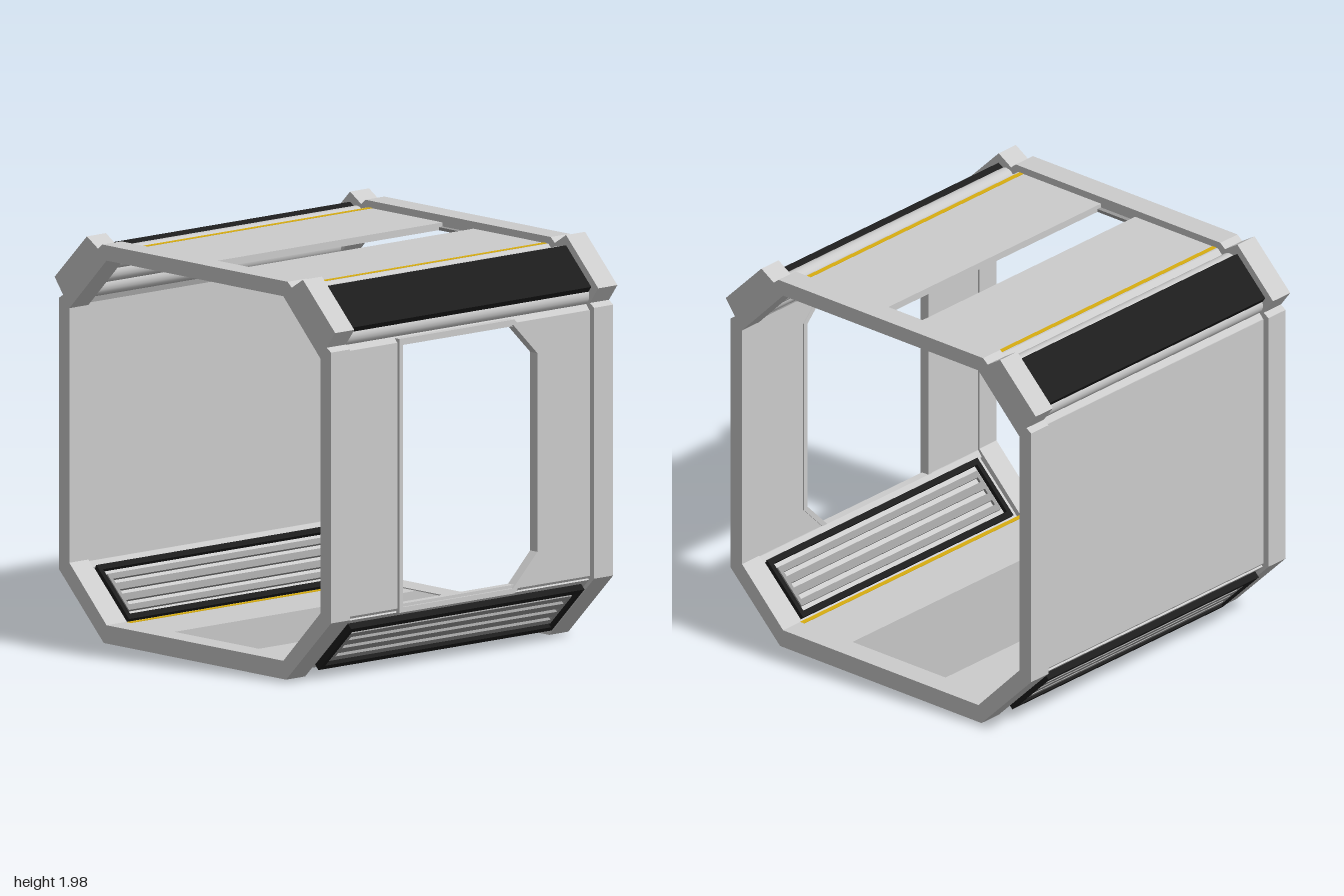
import * as THREE from 'three';

const material = (color) => new THREE.MeshStandardMaterial({ color, side: THREE.DoubleSide });
const grey = material(0xcccccc);
const floorGrey = material(0xb4b4b4);
const ventGrey = material(0x999999);
const black = material(0x1c1c1c);
const yellow = material(0xd9ae10);

const HALF = 0.8; // half length between the end frames

function add(parent, name, geometry, mat = grey) {
  const mesh = new THREE.Mesh(geometry, mat);
  mesh.name = name;
  parent.add(mesh);
  return mesh;
}

// Box given by its limits
function block(parent, name, [x0, x1], [y0, y1], [z0, z1], mat) {
  const geometry = new THREE.BoxGeometry(x1 - x0, y1 - y0, z1 - z0);
  geometry.translate((x0 + x1) / 2, (y0 + y1) / 2, (z0 + z1) / 2);
  return add(parent, name, geometry, mat);
}

const shapeOf = (points) => new THREE.Shape(points.map(([a, b]) => new THREE.Vector2(a, b)));
const holeOf = (points) => new THREE.Path(points.map(([a, b]) => new THREE.Vector2(a, b)));
const rect = (x0, x1, y0, y1) => [[x0, y0], [x1, y0], [x1, y1], [x0, y1]];

// Flat plate with holes, from z0 to z1
function plate(points, holes, z0, z1) {
  const shape = shapeOf(points);
  shape.holes = holes.map(holeOf);
  return new THREE.ExtrudeGeometry(shape, { depth: z1 - z0, bevelEnabled: false }).translate(0, 0, z0);
}

// Cross-section of [z, y] points swept along x
function prism(points, x0, x1, holes = []) {
  const flip = (list) => list.map(([z, y]) => [-z, y]);
  return plate(flip(points), holes.map(flip), x0, x1).rotateY(Math.PI / 2);
}

const mirrored = (half) => [...half, ...half.map(([z, y]) => [-z, y]).reverse()];

// Doorway with two cut corners on one side
const doorway = (x0, x1, y0, y1, cut) => [
  [x0, y0], [x1 - cut, y0], [x1, y0 + cut], [x1, y1 - cut], [x1 - cut, y1], [x0, y1],
];

// Louvred vent face, built facing +z
function ventFace(name) {
  const face = new THREE.Group();
  face.name = name;
  add(face, 'ventFrame', plate(rect(-0.765, 0.765, -0.165, 0.165), [rect(-0.74, 0.74, -0.135, 0.135)], 0, 0.036), black);
  add(face, 'ventBacking', plate(rect(-0.75, 0.75, -0.145, 0.145), [], 0, 0.012), black);
  const slots = [-0.065, 0, 0.065].map((y) => rect(-0.705, 0.705, y - 0.013, y + 0.013));
  add(face, 'ventGrille', plate(rect(-0.725, 0.725, -0.11, 0.11), slots, 0.01, 0.028), ventGrey);
  return face;
}

// Parts shared by the front and back sides, built facing +z
function buildSide(name) {
  const side = new THREE.Group();
  side.name = name;

  // Upper black corner panel with pipes on its inner face
  const panel = [[0.885, 1.665], [0.95, 1.75], [0.77, 1.93], [0.68, 1.875], [0.735, 1.885], [0.9, 1.72]];
  add(side, 'upperCornerPanel', prism(panel, -HALF, HALF), black);
  for (const t of [-0.115, 0, 0.115]) {
    const pipe = new THREE.CylinderGeometry(0.052, 0.052, 2 * HALF, 20).rotateZ(Math.PI / 2);
    add(side, 'cornerPipe', pipe.translate(0, 1.785 - t * 0.707, 0.802 + t * 0.707));
  }

  // Bevelled strips above and below the wall
  add(side, 'wallTopLedge', prism([[0.9, 1.62], [0.94, 1.62], [0.94, 1.63], [0.91, 1.665], [0.88, 1.665]], -HALF, HALF));
  add(side, 'wallBottomLedge', prism([[0.9, 0.35], [0.94, 0.35], [0.94, 0.335], [0.915, 0.3], [0.88, 0.32]], -HALF, HALF));

  // Roof and floor edges with yellow lines
  add(side, 'roofEdge', prism([[0.635, 1.92], [0.645, 1.92], [0.69, 1.875], [0.635, 1.885]], -HALF, HALF));
  block(side, 'roofLine', [-HALF, HALF], [1.882, 1.922], [0.61, 0.635], yellow);
  block(side, 'floorLine', [-HALF, HALF], [0.043, 0.088], [0.61, 0.635], yellow);

  // Lower sloped panel, vented on both faces
  const lower = new THREE.Group();
  lower.name = 'lowerCornerPanel';
  lower.position.set(0, 0.187, 0.787);
  lower.rotation.x = Math.PI / 4;
  add(lower, 'lowerPanel', new THREE.BoxGeometry(2 * HALF, 0.38, 0.034));
  const outer = ventFace('outerVent');
  outer.position.z = 0.015;
  const inner = ventFace('innerVent');
  inner.rotation.y = Math.PI;
  inner.position.z = -0.003;
  lower.add(outer, inner);
  side.add(lower);
  return side;
}

export function createModel() {
  const model = new THREE.Group();
  model.name = 'corridorSection';

  // End frames with raised upper corner brackets
  const outline = mirrored([
    [0.65, 0], [0.97, 0.32], [0.97, 1.65], [0.94, 1.67], [1.0, 1.75],
    [0.77, 1.98], [0.69, 1.93], [0.66, 1.955],
  ]);
  const opening = mirrored([[0.63, 0.09], [0.895, 0.36], [0.895, 1.61], [0.63, 1.88]]);
  add(model, 'leftEndFrame', prism(outline, HALF, 0.925, [opening]));
  add(model, 'rightEndFrame', prism(outline, -0.925, -HALF, [opening]));

  // Matching front and back corner assemblies
  const front = buildSide('frontSide');
  const back = buildSide('backSide');
  back.rotation.y = Math.PI;
  model.add(front, back);

  // Front wall with framed doorway, and plain back wall
  const frameOutline = doorway(-0.46, 0.47, 0.31, 1.655, 0.175);
  const doorOpening = doorway(-0.435, 0.445, 0.335, 1.63, 0.16);
  add(model, 'frontWall', plate(rect(-HALF, HALF, 0.33, 1.635), [doorOpening], 0.905, 0.94));
  add(model, 'doorFrame', plate(frameOutline, [doorOpening], 0.9, 0.952));
  block(model, 'backWall', [-HALF, HALF], [0.33, 1.635], [-0.94, -0.905]);

  // Roof panels either side of a long open slot
  for (const s of [-1, 1]) {
    block(model, 'roofPanel', [-HALF, HALF], [1.885, 1.92], s < 0 ? [-0.61, -0.11] : [0.11, 0.61]);
    block(model, 'slotEnd', s < 0 ? [-HALF, -0.775] : [0.775, HALF], [1.885, 1.9], [-0.11, 0.11], ventGrey);
  }

  // Floor with a darker walkway strip
  for (const s of [-1, 1]) {
    block(model, 'floorPanel', [-HALF, HALF], [0.045, 0.085], s < 0 ? [-0.61, -0.3] : [0.3, 0.61]);
  }
  block(model, 'walkway', [-HALF, HALF], [0.045, 0.085], [-0.3, 0.3], floorGrey);
  return model;
}
